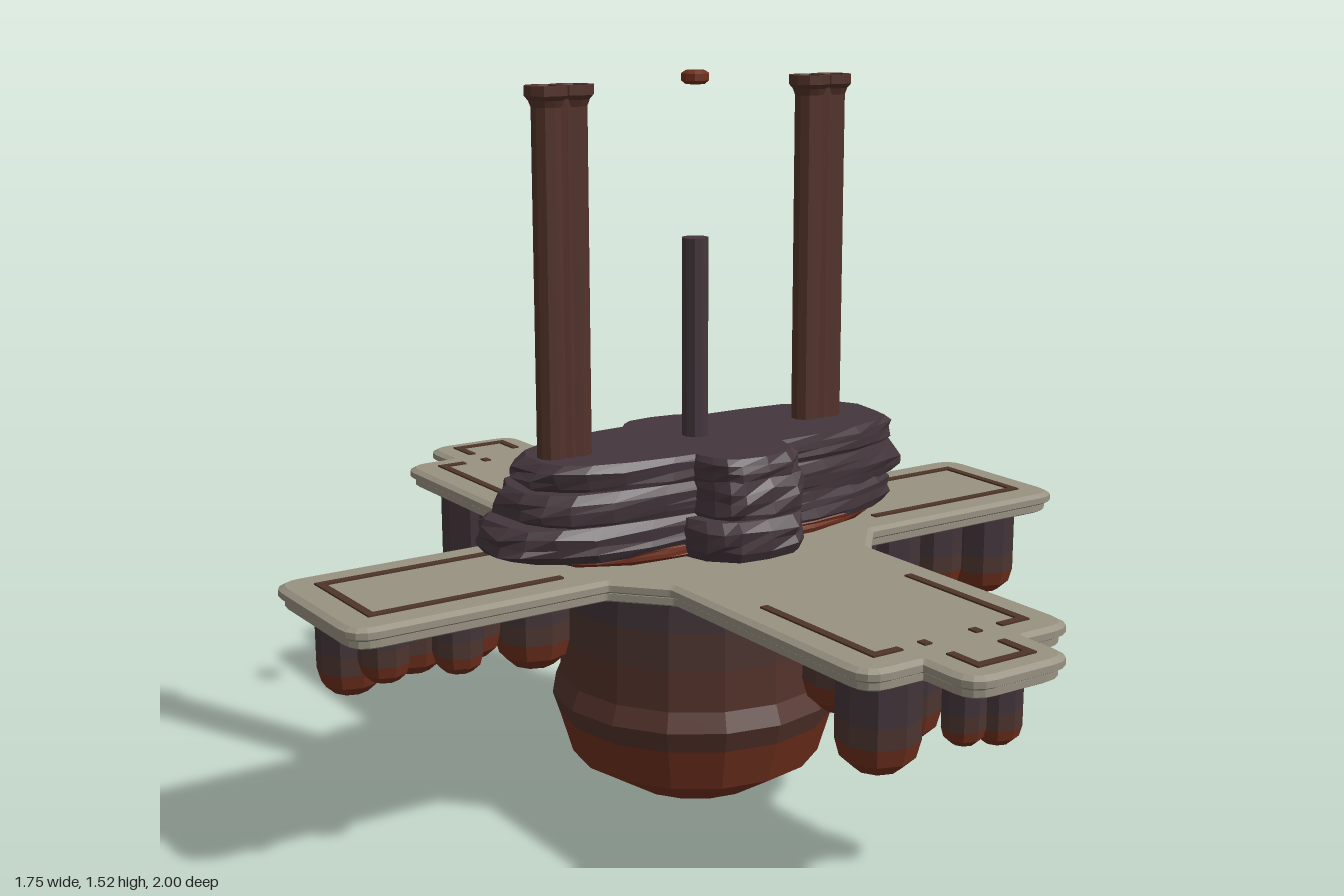
import * as THREE from 'three';

const mat = (name, color, extra = {}) => {
  const m = new THREE.MeshStandardMaterial({ color, flatShading: true, ...extra });
  m.name = name;
  return m;
};

export function createModel() {
  const stone = mat('paleStone', 0x989282);
  const groove = mat('grooveBrown', 0x4f3429);
  const rock = mat('darkRock', 0x44363c);
  const umber = mat('umber', 0x4c342f, { side: THREE.DoubleSide });
  const rust = mat('rust', 0x70301d, { side: THREE.DoubleSide });
  const brown = mat('pillarBrown', 0x53322a, { side: THREE.DoubleSide });
  const shade = mat('shadedRock', 0x42343a, { side: THREE.DoubleSide });

  const root = new THREE.Group();
  const add = (name, geo, material, x = 0, y = 0, z = 0, parent = root) => {
    const m = new THREE.Mesh(geo, material);
    m.name = name;
    m.position.set(x, y, z);
    parent.add(m);
    return m;
  };
  const group = (name) => {
    const g = new THREE.Group();
    g.name = name;
    root.add(g);
    return g;
  };
  const lathe = (pts, sides) =>
    new THREE.LatheGeometry(pts.map(([r, y]) => new THREE.Vector2(r, y)), sides);

  // Cross-shaped deck with rounded corners: one quadrant, mirrored round
  const deckShape = (d) => {
    const q = [[0.873 - d, 0.186 - d, 0.045], [0.325, 0.186 - d, 0.01], [0.247 - d, 0.275, 0.01],
      [0.247 - d, 0.873 - d, 0.045], [0.122 - d, 0.873 - d, 0.012], [0.122 - d, 1 - d, 0.045]];
    const flip = (sx, sz) => q.map(([x, z, r]) => [x * sx, z * sz, r]);
    const pts = [...flip(1, 1), ...flip(-1, 1).reverse(), ...flip(-1, -1), ...flip(1, -1).reverse()];
    const s = new THREE.Shape();
    pts.forEach(([x, z, r], i) => {
      const toward = ([ax, az]) => {
        const l = Math.hypot(ax - x, az - z);
        return [x + (ax - x) * r / l, z + (az - z) * r / l];
      };
      const a = toward(pts[(i + pts.length - 1) % pts.length]);
      const b = toward(pts[(i + 1) % pts.length]);
      if (i) s.lineTo(...a); else s.moveTo(...a);
      s.quadraticCurveTo(x, z, ...b);
    });
    s.closePath();
    return s;
  };
  const deckLayer = (name, inset, y, h, bevel) => {
    const g = new THREE.ExtrudeGeometry(deckShape(inset + bevel * 1.8), {
      depth: h - 2 * bevel, bevelEnabled: true, bevelSize: bevel * 1.8, bevelThickness: bevel,
      bevelSegments: 1, curveSegments: 4,
    });
    g.rotateX(-Math.PI / 2);
    add(name, g, stone, 0, y + bevel, 0);
  };
  deckLayer('deckUnderside', 0.01, 0.52, 0.024, 0.005);
  deckLayer('deckTop', 0, 0.538, 0.027, 0.007);

  // Inlaid lines on the deck
  const inlays = group('deckInlays');
  const line = (x1, z1, x2, z2) => add('inlay',
    new THREE.BoxGeometry(Math.abs(x2 - x1) + 0.017, 0.005, Math.abs(z2 - z1) + 0.017),
    groove, (x1 + x2) / 2, 0.566, (z1 + z2) / 2, inlays);
  for (const s of [-1, 1]) {
    line(s * 0.8, -0.112, s * 0.8, 0.112);
    for (const t of [-1, 1]) {
      line(s * 0.4, t * 0.112, s * 0.8, t * 0.112);
      line(s * 0.175, t * 0.49, s * 0.175, t * 0.805);
      line(s * 0.125, t * 0.805, s * 0.175, t * 0.805);
      line(s * 0.06, t * 0.88, s * 0.06, t * 0.945);
      line(s * 0.06, t * 0.803, s * 0.06, t * 0.807);
    }
    line(-0.06, s * 0.945, 0.06, s * 0.945);
  }

  // Faceted bowl under the deck, in colour bands
  const bowl = group('bowl');
  const band = (name, pts, m) => add(name, lathe(pts, 16), m, 0, 0, 0, bowl);
  band('bowlBase', [[0, 0.003], [0.15, 0.03], [0.265, 0.1], [0.292, 0.19]], rust);
  band('bowlBelly', [[0.292, 0.19], [0.307, 0.235], [0.29, 0.275], [0.288, 0.36]], brown);
  band('bowlShoulder', [[0.288, 0.36], [0.286, 0.44]], umber);
  band('bowlNeck', [[0.286, 0.44], [0.283, 0.495], [0.296, 0.505], [0.296, 0.525]], shade);

  // Hanging round-ended columns: x, z, radius, bottom
  const hang = group('hangingColumns');
  const columns = [
    [0.76, 0.06, 0.07, 0.32], [0.61, 0.06, 0.065, 0.35], [0.48, 0.06, 0.07, 0.31],
    [0.35, -0.09, 0.07, 0.31], [0.38, 0.06, 0.05, 0.34],
    [-0.75, -0.1, 0.065, 0.34], [-0.62, -0.09, 0.065, 0.36], [-0.49, -0.1, 0.07, 0.36],
    [-0.35, -0.08, 0.08, 0.32], [-0.76, 0.08, 0.05, 0.42], [-0.61, 0.09, 0.05, 0.41],
    [0.03, 0.9, 0.045, 0.39], [-0.04, 0.89, 0.04, 0.4], [-0.1, 0.73, 0.08, 0.31],
    [0.1, 0.55, 0.085, 0.265], [0.11, 0.37, 0.085, 0.265], [0, 0.64, 0.035, 0.34],
    [0.17, 0.72, 0.055, 0.35],
    [0.04, -0.89, 0.04, 0.41], [-0.04, -0.89, 0.04, 0.41], [0.14, -0.79, 0.055, 0.36],
    [0.17, -0.61, 0.06, 0.35], [0.165, -0.4, 0.075, 0.29], [-0.12, -0.74, 0.085, 0.26],
    [-0.12, -0.55, 0.085, 0.25], [-0.11, -0.38, 0.08, 0.27], [0, -0.68, 0.035, 0.38],
  ];
  for (const [x, z, r, b] of columns) {
    const h = r * 1.1, mid = b + h + 0.02;
    add('columnShaft', lathe([[r, mid], [r, 0.51], [r * 0.9, 0.525]], 9), shade, x, 0, z, hang);
    add('columnBand', lathe([[r, b + h * 0.75], [r, mid]], 9), umber, x, 0, z, hang);
    add('columnTip', lathe([[0, b], [r * 0.55, b + h * 0.08], [r * 0.88, b + h * 0.35], [r, b + h * 0.75]], 9),
      rust, x, 0, z, hang);
  }

  // Rough slabs: a squared oval drum with seeded dents
  const hash = (a, b, c, s) => {
    const v = Math.sin(a * 12.9 + b * 78.2 + c * 37.7 + s * 5.3) * 43758.5;
    return v - Math.floor(v);
  };
  const rocks = group('rockStack');
  const slab = (name, [x, y, z], rx, rz, h, seed, power, material = rock) => {
    const g = new THREE.CylinderGeometry(1, 1, 1, 22, 4);
    const p = g.attributes.position;
    const soft = (v) => Math.sign(v) * Math.abs(v) ** power;
    for (let i = 0; i < p.count; i++) {
      const [a, b, c] = [p.getX(i), p.getY(i), p.getZ(i)];
      const k = [Math.round(a * 50), Math.round(b * 50), Math.round(c * 50)];
      const edge = Math.abs(b) > 0.4 ? 0.93 : 0.98;
      const f = edge + (hash(...k, seed) - 0.5) * 0.05;
      const dy = Math.abs(b) > 0.4 ? 0 : (hash(...k, seed + 9) - 0.5) * 0.14;
      p.setXYZ(i, soft(a) * rx * f, (b + dy) * h, soft(c) * rz * f);
    }
    g.computeVertexNormals();
    add(name, g, material, x, y, z, rocks);
  };
  slab('rustFooting', [0.01, 0.591, 0], 0.4, 0.172, 0.032, 1, 0.6, rust);
  slab('lowerLongRock', [-0.01, 0.627, 0], 0.495, 0.172, 0.07, 2, 0.68);
  slab('middleLongRock', [0.025, 0.69, 0], 0.485, 0.165, 0.072, 3, 0.68);
  slab('upperLongRock', [0.035, 0.749, 0], 0.455, 0.155, 0.06, 4, 0.68);
  slab('lowerCrossRock', [-0.005, 0.617, 0.002], 0.14, 0.282, 0.08, 5, 0.55);
  slab('middleCrossRock', [0.015, 0.69, 0.012], 0.13, 0.252, 0.09, 6, 0.55);
  slab('upperCrossRock', [0.01, 0.75, 0.025], 0.122, 0.224, 0.058, 7, 0.55);

  // Bundled-shaft pillars with flared, hollow caps
  const shaft = [[0.031, 0.76], [0.031, 1.465], [0.036, 1.478], [0.044, 1.487],
    [0.044, 1.506], [0.032, 1.506], [0.029, 1.49], [0, 1.49]];
  for (const s of [-1, 1]) {
    const g = group(s > 0 ? 'leftPillar' : 'rightPillar');
    for (const o of [-0.028, 0.028]) add('pillarShaft', lathe(shaft, 10), brown, s * 0.315 + o, 0, 0, g);
    add('pillarCore', new THREE.CylinderGeometry(0.03, 0.03, 0.72, 8), brown, s * 0.315, 1.12, 0, g);
  }

  // Central post and the small disc floating above it
  add('centrePost', new THREE.CylinderGeometry(0.028, 0.028, 0.43, 10), rock, 0, 0.975, 0);
  add('floatingDisc', lathe([[0, 1.497], [0.02, 1.497], [0.029, 1.504], [0.029, 1.518], [0.02, 1.524], [0, 1.524]], 10),
    rust);

  return root;
}
